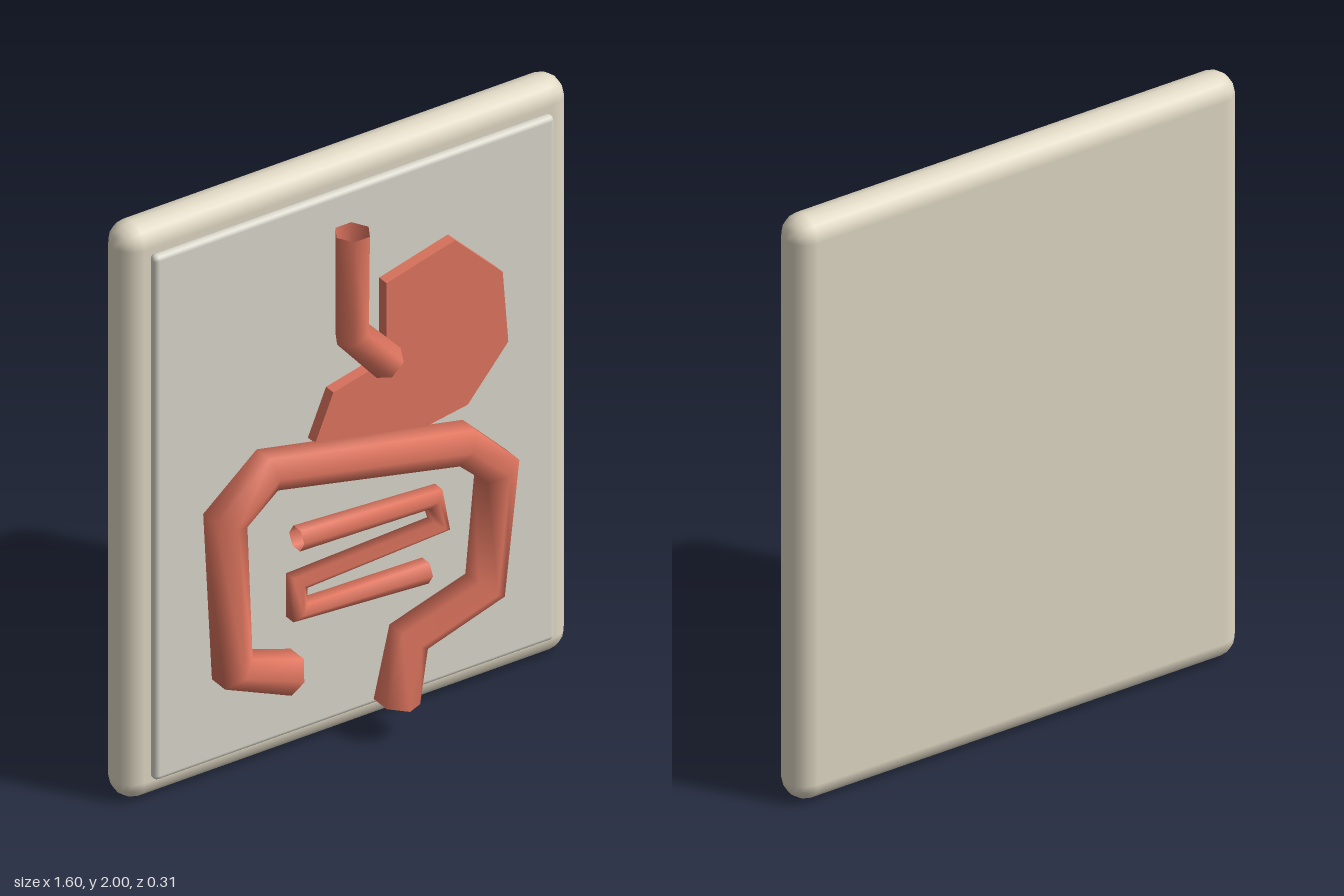
import * as THREE from 'three';
import { RoundedBoxGeometry } from 'three/addons/geometries/RoundedBoxGeometry.js';

const mat = (color) => new THREE.MeshStandardMaterial({ color });
const boardMat = mat(0xe0d8c4);
const panelMat = mat(0xdad8cc);
const organMat = mat(0xe07660);
organMat.side = THREE.DoubleSide;

// Open six-sided tube along a polyline in the plane z; each ring bisects its corner.
function polyTube(path, z, radius, turn) {
  const sides = 6;
  const pts = path.map(([x, y]) => new THREE.Vector2(x, y));
  const pos = [], nor = [], idx = [];
  pts.forEach((p, i) => {
    const dir = new THREE.Vector2();
    if (i > 0) dir.add(p.clone().sub(pts[i - 1]).normalize());
    if (i < pts.length - 1) dir.add(pts[i + 1].clone().sub(p).normalize());
    dir.normalize();
    for (let s = 0; s <= sides; s++) {
      const a = turn + (s / sides) * Math.PI * 2;
      const c = Math.cos(a);
      const n = [-dir.y * c, dir.x * c, Math.sin(a)];
      nor.push(...n);
      pos.push(p.x + n[0] * radius, p.y + n[1] * radius, z + n[2] * radius);
      if (i > 0 && s < sides) {
        const b = i * (sides + 1) + s, q = b - sides - 1;
        idx.push(q, b, q + 1, b, b + 1, q + 1);
      }
    }
  });
  const g = new THREE.BufferGeometry();
  g.setAttribute('position', new THREE.Float32BufferAttribute(pos, 3));
  g.setAttribute('normal', new THREE.Float32BufferAttribute(nor, 3));
  g.setIndex(idx);
  return g;
}

export function createModel() {
  const model = new THREE.Group();
  model.name = 'digestiveSystemPlaque';
  const add = (name, geometry, material, x = 0, y = 0, z = 0) => {
    const mesh = new THREE.Mesh(geometry, material);
    mesh.name = name;
    mesh.position.set(x, y, z);
    model.add(mesh);
  };

  // Backing board and raised panel
  add('backingBoard', new RoundedBoxGeometry(1.6, 2, 0.14, 2, 0.07), boardMat, 0, 1, -0.085);
  add('frontPanel', new RoundedBoxGeometry(1.43, 1.83, 0.036, 2, 0.017), panelMat, 0, 1, 0);

  // Stomach: flat faceted plate
  const stomach = new THREE.Shape([
    [0.085, 1.57], [0.085, 1.3], [-0.105, 1.255], [-0.17, 1.1], [0.1, 1.0],
    [0.375, 1.045], [0.52, 1.215], [0.5, 1.465], [0.33, 1.635],
  ].map(([x, y]) => new THREE.Vector2(x, y)));
  add('stomach', new THREE.ExtrudeGeometry(stomach, { depth: 0.04, bevelEnabled: false }),
    organMat, 0, 0, 0.017);

  // Tubular organs
  add('esophagus', polyTube([[-0.045, 1.8], [-0.047, 1.447], [0.083, 1.3]], 0.07, 0.057, 0), organMat);
  add('largeIntestine', polyTube([
    [-0.275, 0.352], [-0.485, 0.435], [-0.51, 0.963], [-0.36, 1.088], [0.333, 0.94],
    [0.46, 0.815], [0.418, 0.415], [0.145, 0.33], [0.103, 0.118],
  ], 0.085, 0.07, Math.PI / 2), organMat);
  add('smallIntestine', polyTube([
    [-0.255, 0.812], [0.23, 0.79], [0.252, 0.688], [-0.255, 0.665], [-0.255, 0.562], [0.205, 0.54],
  ], 0.085, 0.04, Math.PI / 2), organMat);

  return model;
}
